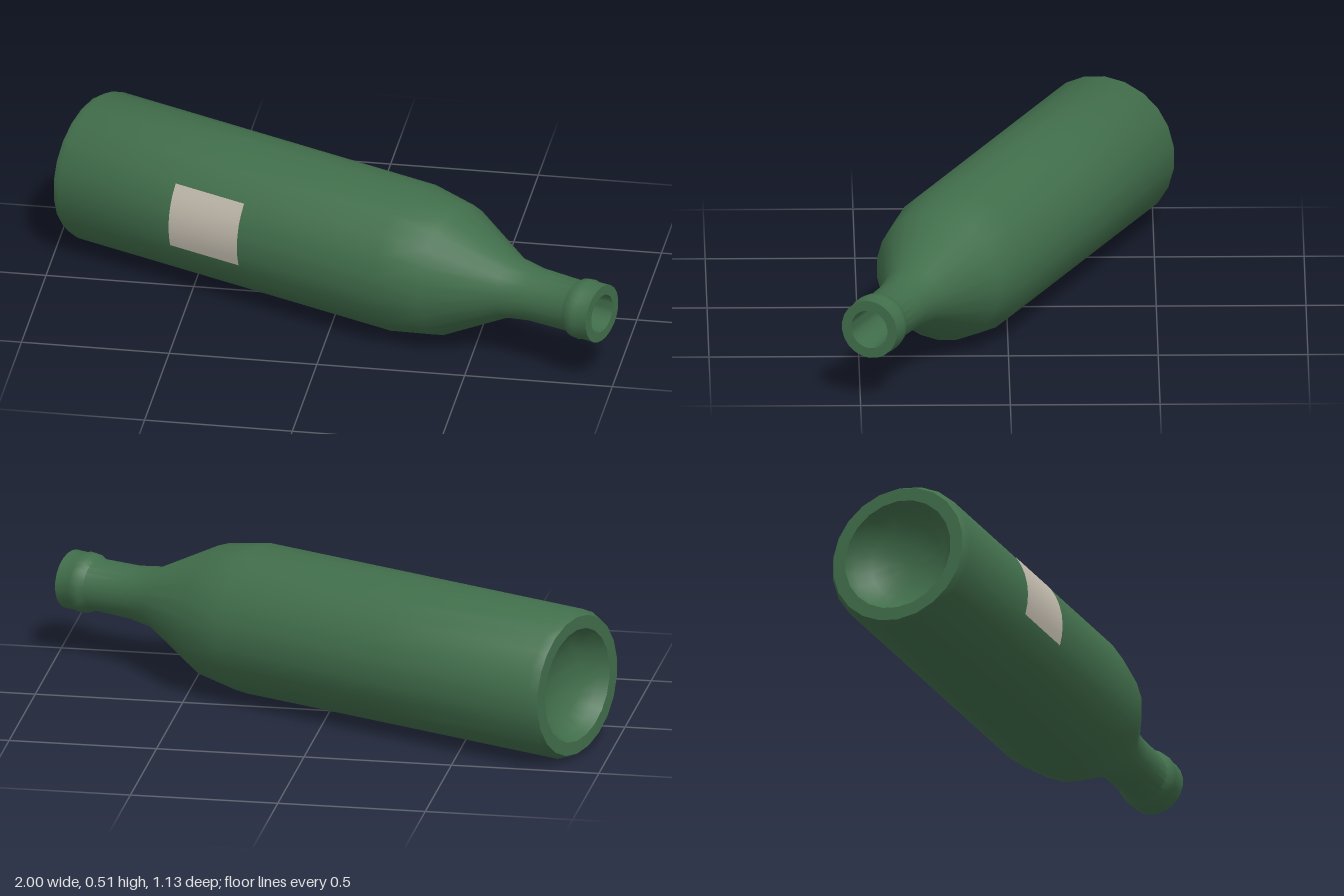
import * as THREE from 'three';
import { toCreasedNormals } from 'three/addons/utils/BufferGeometryUtils.js';

const SIDES = 22;
const CREASE = THREE.MathUtils.degToRad(40);
const YAW = THREE.MathUtils.degToRad(23.8);

// Lathe profile [radius, distance from base], from the punt over the outside into the neck
const PROFILE = [
  [0, 0.1], [0.07, 0.092], [0.13, 0.07], [0.175, 0.035], [0.195, 0],
  [0.24, 0], [0.255, 0.03], [0.255, 0.65], [0.255, 1.28],
  [0.226, 1.443], [0.105, 1.677], [0.091, 1.772], [0.088, 1.93],
  [0.1, 1.945], [0.103, 1.975], [0.099, 1.985], [0.1, 2.033],
  [0.066, 2.033], [0.064, 1.93], [0.066, 1.77], [0.08, 1.68], [0, 1.66],
];

function lathe(name, points, sides, start, length, color) {
  const profile = points.map(([r, y]) => new THREE.Vector2(r, y));
  const geometry = toCreasedNormals(new THREE.LatheGeometry(profile, sides, start, length), CREASE);
  const material = new THREE.MeshStandardMaterial({ color, side: THREE.DoubleSide });
  const mesh = new THREE.Mesh(geometry, material);
  mesh.name = name;
  return mesh;
}

export function createModel() {
  const bottle = new THREE.Group();
  bottle.name = 'bottle';

  // Glass body, neck, lip and hollow base in one turned surface
  bottle.add(lathe('glass', PROFILE, SIDES, Math.PI / 2, Math.PI * 2, 0x416e4b));

  // Blank paper patch wrapped around the front
  const deg = THREE.MathUtils.degToRad;
  bottle.add(lathe('label', [[0.259, 0.472], [0.259, 0.745]], 6, deg(-34), deg(50), 0xbfb8ab));

  // Lay the bottle on its side, mouth turned towards the front left
  bottle.rotation.set(0, -YAW, -Math.PI / 2);
  bottle.position.set(-0.9, 0.255, -0.35);

  const model = new THREE.Group();
  model.name = 'lyingBottle';
  model.add(bottle);
  return model;
}
